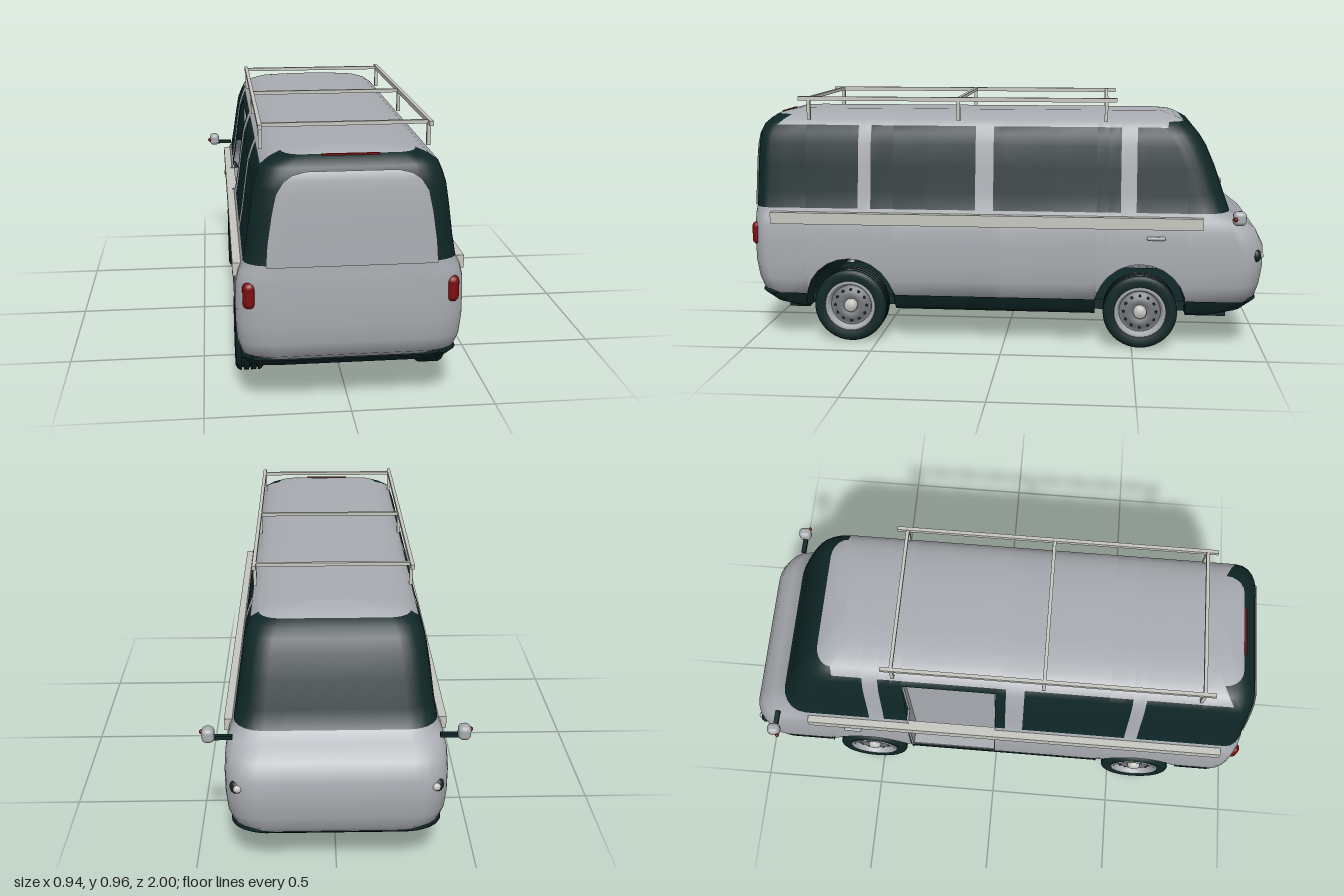
import * as THREE from 'three';
import { RoundedBoxGeometry } from 'three/addons/geometries/RoundedBoxGeometry.js';

const mat = (name, color, side = THREE.DoubleSide) =>
  Object.assign(new THREE.MeshStandardMaterial({ color, side }), { name });

const WHEELS = [0.605, -0.53], ARCH = 0.175;

// hull outline by height: y, half width, rear z, front z
const BODY = [
  [0.17, 0.33, 0.93, -0.95], [0.2, 0.365, 0.975, -0.975], [0.25, 0.38, 0.99, -0.99],
  [0.32, 0.385, 1, -1], [0.4, 0.385, 1, -1], [0.46, 0.382, 1, -0.97], [0.5, 0.372, 0.998, -0.92],
  [0.53, 0.357, 0.995, -0.87], [0.6, 0.345, 0.993, -0.845], [0.7, 0.332, 0.99, -0.81],
  [0.78, 0.32, 0.985, -0.775], [0.82, 0.307, 0.98, -0.75], [0.85, 0.295, 0.965, -0.725],
  [0.87, 0.265, 0.945, -0.69], [0.885, 0.225, 0.925, -0.66], [0.892, 0.17, 0.9, -0.63],
  [0.899, 0.1, 0.86, -0.6]];
const TRAY = [[0.13, 0.335, 0.86, -0.86], [0.15, 0.355, 0.93, -0.93], [0.19, 0.37, 0.98, -0.98]];

function outline(table, y) {
  let i = 0;
  while (i < table.length - 2 && y > table[i + 1][0]) i++;
  const a = table[i], b = table[i + 1];
  const t = THREE.MathUtils.clamp((y - a[0]) / (b[0] - a[0]), 0, 1);
  return [1, 2, 3].map(k => a[k] + (b[k] - a[k]) * t);
}

// columns of half a ring, from rear centre along +x to front centre
function halfColumns() {
  const zs = [0.86, 0.57, 0.52, 0.11, 0.04, 0, -0.4, -0.45, -0.51, 0.3, -0.2];
  for (const c of WHEELS) for (let i = 0; i <= 12; i++) zs.push(c + ARCH * Math.cos(i * Math.PI / 12));
  zs.sort((a, b) => b - a);
  const cols = [];
  for (const f of [0, 0.35, 0.7]) cols.push({ kind: 'rear', f });
  for (let i = 0; i < 6; i++) cols.push({ kind: 'rear', a: i * Math.PI / 10 });
  for (const z of zs) cols.push({ kind: 'side', z });
  for (let i = 5; i >= 0; i--) cols.push({ kind: 'front', a: i * Math.PI / 10 });
  for (const f of [0.7, 0.35, 0]) cols.push({ kind: 'front', f });
  return cols;
}

function columnPoint(c, table, y, arches) {
  if (c.kind === 'side' && arches && y < 0.5) {
    let low = 0.17;
    for (const w of WHEELS) {
      const d = ARCH * ARCH - (c.z - w) ** 2;
      if (d > 0) low = Math.max(low, 0.16 + Math.sqrt(d));
    }
    y = low + (y - 0.17) * (0.5 - low) / 0.33;
  }
  const [hx, zb, zf] = outline(table, y), rx = hx * 0.3;
  const rb = 0.07, rf = y > 0.86 ? 0.06 : 0.1;
  if (c.kind === 'side') {
    const limit = zf + rf;
    let z = Math.min(c.z, zb - rb);
    if (limit > -0.72 && z < -0.51) z = -0.51 + (z + 0.51) * (limit + 0.51) / -0.21;
    return [hx, y, z];
  }
  const rear = c.kind === 'rear';
  if (c.f !== undefined) return [c.f * (hx - rx), y, rear ? zb : zf];
  const x = hx - rx + rx * Math.sin(c.a), k = 1 - Math.cos(c.a);
  return [x, y, rear ? zb - rb * k : zf + rf * k];
}

// stacked rings; pick() returns the material number of a cell, or -1 for a hole
function hull(table, pick, { arches = false, cap = false } = {}) {
  const cols = halfColumns(), h = cols.length, n = 2 * h - 2;
  const pos = [], faces = [[], []];
  for (const [y] of table)
    for (let j = 0; j < n; j++) {
      const p = columnPoint(cols[j < h ? j : n - j], table, y, arches);
      pos.push(j < h ? p[0] : -p[0], p[1], p[2]);
    }
  for (let i = 0; i < table.length - 1; i++)
    for (let j = 0; j < n; j++) {
      const k = (j + 1) % n, a = i * n + j, b = i * n + k, c = b + n, d = a + n;
      const near = (q) => cols[q < h ? q : n - q];
      const kind = near(j).kind === near(k).kind ? near(j).kind : 'corner';
      const z = kind === 'side' ? (near(j).z + near(k).z) / 2 : 0;
      const m = pick((table[i][0] + table[i + 1][0]) / 2, kind, z, j >= h - 1);
      if (m >= 0) faces[m].push(a, b, c, a, c, d);
    }
  const t = (table.length - 1) * n;
  if (cap) for (let j = 0; j < h - 1; j++) {
    const a = t + j, b = t + j + 1, c = t + n - j - 1, d = t + (n - j) % n;
    faces[0].push(a, b, c, a, c, d);
  }
  const g = new THREE.BufferGeometry();
  g.setAttribute('position', new THREE.Float32BufferAttribute(pos, 3));
  g.setIndex([...faces[0], ...faces[1]]);
  g.addGroup(0, faces[0].length, 0);
  g.addGroup(faces[0].length, faces[1].length, 1);
  g.computeVertexNormals();
  return g;
}

// light panel following the rear face inside its dark frame
function tailgateGeometry() {
  const rows = [[0.525, 0.285], [0.6, 0.28], [0.7, 0.265], [0.77, 0.25], [0.81, 0.225], [0.83, 0.195], [0.84, 0.15]];
  const pos = [], idx = [], n = 16;
  rows.forEach(([y, w], i) => {
    const [hx, zb] = outline(BODY, y), rx = hx * 0.3;
    for (let j = 0; j <= n; j++) {
      const x = w * (2 * j / n - 1), s = Math.max(0, (Math.abs(x) - hx + rx) / rx);
      pos.push(x, y, zb - 0.07 * (1 - Math.sqrt(1 - s * s)) + 0.006);
      const a = i * (n + 1) + j;
      if (i < rows.length - 1 && j < n) idx.push(a, a + 1, a + n + 2, a, a + n + 2, a + n + 1);
    }
  });
  const g = new THREE.BufferGeometry();
  g.setAttribute('position', new THREE.Float32BufferAttribute(pos, 3));
  g.setIndex(idx);
  g.computeVertexNormals();
  return g;
}

const lathe = (pts) => new THREE.LatheGeometry(pts.map(p => new THREE.Vector2(...p)), 40).rotateZ(-Math.PI / 2);

export function createModel() {
  const root = new THREE.Group();
  root.name = 'van';
  const paint = mat('silverPaint', 0xa8abb0), dark = mat('darkGlassAndTrim', 0x0f2626);
  const rail = mat('paleRail', 0xc6c6c0), red = mat('redLamp', 0x7c0c0e), steel = mat('wheelSteel', 0x75787c);
  const add = (name, geo, m, x = 0, y = 0, z = 0, parent = root) => {
    const mesh = new THREE.Mesh(geo, m);
    mesh.name = name;
    mesh.position.set(x, y, z);
    parent.add(mesh);
    return mesh;
  };
  const box = (name, m, w, h, d, x, y, z) => add(name, new THREE.BoxGeometry(w, h, d), m, x, y, z);

  // body shell with window bands, wheel arches and open side door
  const pillars = [[0.52, 0.57], [0.04, 0.11], [-0.51, -0.45]];
  add('bodyShell', hull(BODY, (y, kind, z, leftSide) => {
    if (leftSide && kind === 'side' && z < 0 && z > -0.355 && y > 0.2 && y < 0.82) return -1;
    if (y > 0.53 && y < 0.85)
      return kind === 'side' && pillars.some(([a, b]) => z > a && z < b) ? 0 : 1;
    if (y > 0.85 && y < 0.87 && kind === 'front') return 1;
    return y > 0.85 && y < 0.885 && kind === 'rear' ? 1 : 0;
  }, { arches: true, cap: true }), [paint, dark]);
  add('tailgate', tailgateGeometry(), paint);

  // recess behind the open door
  box('doorwayBack', paint, 0.01, 0.63, 0.355, -0.27, 0.505, -0.1775);
  box('doorwayFloor', paint, 0.09, 0.01, 0.355, -0.315, 0.2, -0.1775);
  for (const z of [0, -0.355]) {
    box('doorwayLowerJamb', paint, 0.1, 0.32, 0.008, -0.32, 0.36, z);
    box('doorwayUpperJamb', paint, 0.04, 0.3, 0.008, -0.285, 0.67, z);
  }

  // dark lower skirt and floor
  const overWheel = (z) => WHEELS.some(w => Math.abs(z - w) < ARCH);
  add('lowerSkirt', hull(TRAY, (y, kind, z) => kind === 'side' && overWheel(z) ? -1 : 1), [paint, dark]);
  box('floorSpine', dark, 0.54, 0.04, 1.72, 0, 0.145, 0);
  for (const [a, b] of [[0.86, 0.78], [0.43, -0.355], [-0.705, -0.86]])
    box('floorPanel', dark, 0.66, 0.025, a - b, 0, 0.1375, (a + b) / 2);

  // wheels and arch liners
  const tyre = [[0.098, -0.045], [0.125, -0.052], [0.138, -0.044]];
  for (const g of [-0.026, 0, 0.026])
    tyre.push([0.143, g - 0.009], [0.143, g - 0.004], [0.134, g - 0.003], [0.134, g + 0.003], [0.143, g + 0.004], [0.143, g + 0.009]);
  tyre.push([0.138, 0.044], [0.125, 0.052], [0.098, 0.045]);
  const tyreGeo = lathe(tyre);
  const rimGeo = lathe([[0.09, -0.045], [0.1, -0.045], [0.1, 0.046], [0.094, 0.05], [0.086, 0.045], [0.08, 0.025]]);
  const discGeo = lathe([[0.082, 0.022], [0.07, 0.02], [0.055, 0.034], [0.035, 0.034], [0.025, 0.025], [0, 0.025]]);
  const hubGeo = lathe([[0.026, 0.022], [0.026, 0.04], [0.018, 0.048], [0, 0.05]]);
  const ventGeo = new THREE.CylinderGeometry(0.006, 0.006, 0.004, 8).rotateZ(Math.PI / 2);
  for (const z of WHEELS) {
    add('wheelArchLiner', new THREE.CylinderGeometry(ARCH, ARCH, 0.74, 24, 1, true, 0, Math.PI)
      .rotateZ(Math.PI / 2), dark, 0, 0.16, z);
    for (const s of [1, -1]) {
      const wheel = new THREE.Group();
      wheel.name = 'wheel';
      wheel.position.set(s * 0.332, 0.143, z);
      if (s < 0) wheel.rotation.y = Math.PI;
      root.add(wheel);
      add('tyre', tyreGeo, dark, 0, 0, 0, wheel);
      add('rim', rimGeo, paint, 0, 0, 0, wheel);
      add('wheelDisc', discGeo, steel, 0, 0, 0, wheel);
      add('hubCap', hubGeo, rail, 0, 0, 0, wheel);
      for (let i = 0; i < 12; i++) {
        const a = i * Math.PI / 6;
        add('wheelVent', ventGeo, dark, 0.03, 0.062 * Math.cos(a), 0.062 * Math.sin(a), wheel);
      }
    }
  }

  // roof rack
  const rackZ = [0.77, 0.18, -0.39];
  for (const z of rackZ) box('rackCrossbar', rail, 0.58, 0.013, 0.013, 0, 0.952, z);

  // mirrored side fittings
  for (const s of [1, -1]) {
    box('rackRail', rail, 0.014, 0.016, 1.24, s * 0.289, 0.952, 0.19);
    for (const z of rackZ) box('rackPost', rail, 0.013, 0.08, 0.013, s * 0.287, 0.91, z);
    box('sideRail', rail, 0.04, 0.045, 1.67, s * 0.372, 0.494, 0.075);
    add('doorHandle', new RoundedBoxGeometry(0.016, 0.014, 0.07, 2, 0.006), paint, s * 0.386, 0.437, -0.585);
    add('tailLamp', new RoundedBoxGeometry(0.044, 0.092, 0.05, 4, 0.02), red, s * 0.34, 0.425, 0.972);
    box('mirrorArm', dark, 0.07, 0.014, 0.018, s * 0.39, 0.517, -0.885);
    add('mirror', new RoundedBoxGeometry(0.044, 0.054, 0.05, 4, 0.018), paint, s * 0.437, 0.53, -0.887);
    add('mirrorLamp', new THREE.SphereGeometry(0.008, 10, 8), red, s * 0.461, 0.53, -0.87);
    const lamp = add('headlampHousing', new THREE.SphereGeometry(0.025, 16, 12), dark, s * 0.345, 0.37, -0.965);
    lamp.scale.set(0.8, 1, 0.8);
    add('headlampLens', new THREE.SphereGeometry(0.015, 14, 10), rail, s * 0.338, 0.37, -0.98);
  }
  box('highBrakeLamp', red, 0.19, 0.006, 0.008, 0, 0.884, 0.93);

  return root;
}
